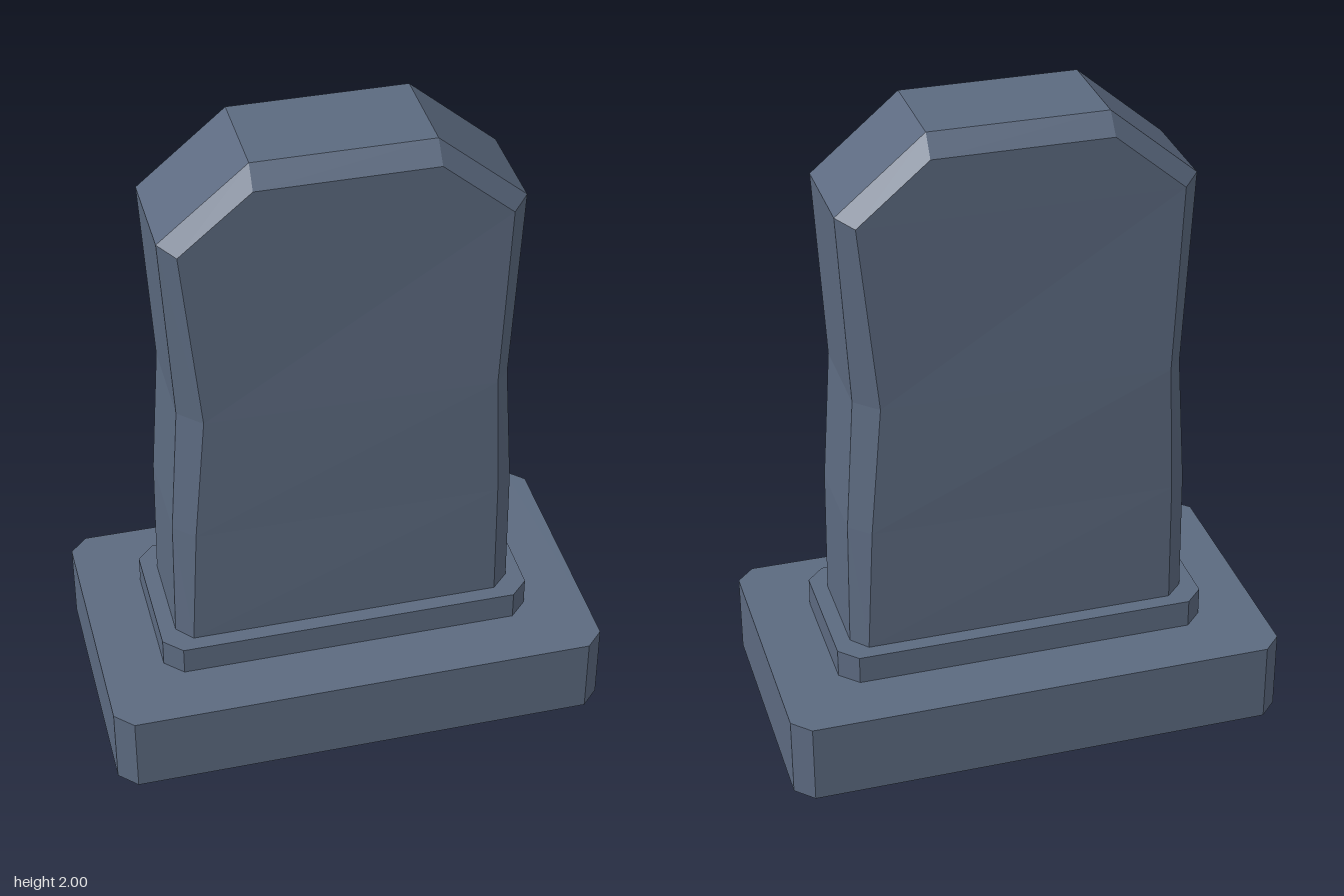
import * as THREE from 'three';

const stone = new THREE.MeshStandardMaterial({ color: 0x5c6a80 });
stone.name = 'slate stone';

// Flat block with clipped vertical corners
function clippedBlock(name, hx, hz, y0, y1, c) {
  const shape = new THREE.Shape([
    [hx, -hz + c], [hx, hz - c], [hx - c, hz], [-hx + c, hz],
    [-hx, hz - c], [-hx, -hz + c], [-hx + c, -hz], [hx - c, -hz],
  ].map(([x, z]) => new THREE.Vector2(x, z)));
  const geo = new THREE.ExtrudeGeometry(shape, { depth: y1 - y0, bevelEnabled: false });
  geo.rotateX(-Math.PI / 2).translate(0, y0, 0);
  const mesh = new THREE.Mesh(geo, stone);
  mesh.name = name;
  return mesh;
}

// Waisted slab: each row is a level of the outline, slightly twisted at the waist
function slabGeometry() {
  // outer y, outer x, face y, face x right, face x left, edge z right, edge z left, face z right, face z left
  const rows = [
    [0.345, 0.535, 0.345, 0.48, 0.488, 0.153, 0.153, 0.207, 0.207],
    [0.75, 0.528, 0.75, 0.474, 0.467, 0.16, 0.147, 0.211, 0.205],
    [1.17, 0.498, 1.17, 0.454, 0.43, 0.17, 0.135, 0.218, 0.203],
    [1.775, 0.535, 1.757, 0.483, 0.487, 0.153, 0.153, 0.207, 0.207],
    [2.0, 0.268, 1.94, 0.267, 0.27, 0.153, 0.153, 0.207, 0.207],
  ];
  // Front loops run counterclockwise: up the right side, down the left
  const right = (r, face) => face ? [r[3], r[2], r[7]] : [r[1], r[0], r[5]];
  const left = (r, face) => face ? [-r[4], r[2], r[8]] : [-r[1], r[0], r[6]];
  const down = [...rows].reverse();
  const frontLoop = (face) => [...rows.map((r) => right(r, face)), ...down.map((r) => left(r, face))];
  // The back is the front turned half way around the vertical axis
  const backLoop = (face) => {
    const turn = ([x, y, z]) => [-x, y, -z];
    return [...rows.map((r) => turn(left(r, face))), ...down.map((r) => turn(right(r, face)))];
  };
  const loops = [backLoop(true), backLoop(false), frontLoop(false), frontLoop(true)];
  const n = loops[0].length;
  const pos = [];
  const quad = (a, b, c, d) => pos.push(...a, ...b, ...c, ...a, ...c, ...d);

  // Chamfers and rim
  for (let k = 0; k < 3; k++) {
    for (let i = 0; i < n; i++) {
      const j = (i + 1) % n;
      quad(loops[k][i], loops[k][j], loops[k + 1][j], loops[k + 1][i]);
    }
  }
  // Front and back faces
  const [back, , , front] = loops;
  for (let i = 0; i < rows.length - 1; i++) {
    const l = n - 1 - i;
    quad(front[l], front[i], front[i + 1], front[l - 1]);
    quad(back[i], back[l], back[l - 1], back[i + 1]);
  }
  const geo = new THREE.BufferGeometry();
  geo.setAttribute('position', new THREE.Float32BufferAttribute(pos, 3));
  geo.computeVertexNormals();
  return geo;
}

export function createModel() {
  const group = new THREE.Group();
  group.name = 'headstone';
  const slab = new THREE.Mesh(slabGeometry(), stone);
  slab.name = 'slab';
  group.add(
    clippedBlock('base', 0.777, 0.447, 0, 0.255, 0.055),
    clippedBlock('plinth', 0.585, 0.255, 0.255, 0.345, 0.055),
    slab,
  );
  return group;
}
